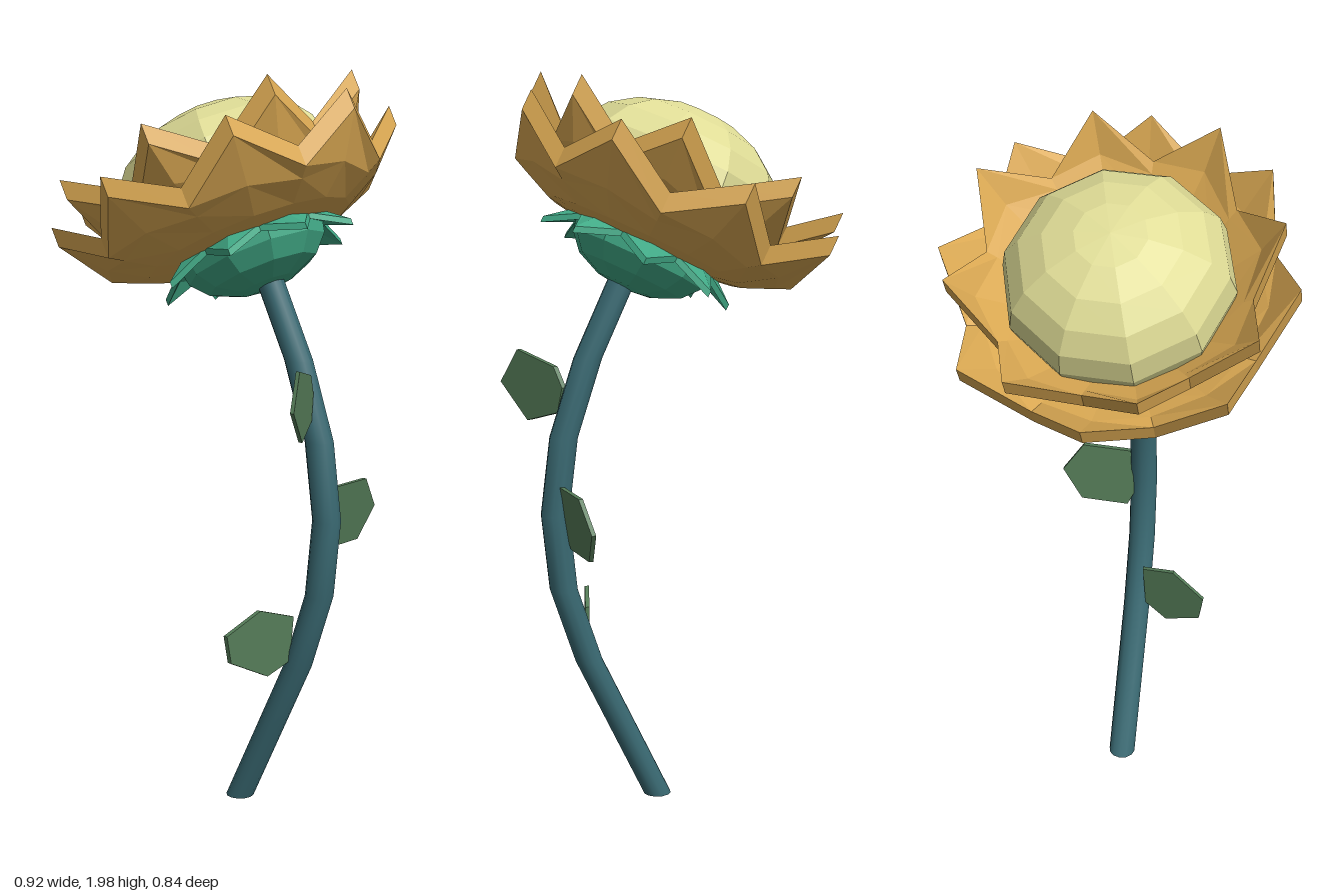
import * as THREE from 'three';

const mat = (name, color, flatShading = true) => {
  const m = new THREE.MeshStandardMaterial({ color, flatShading });
  m.name = name;
  return m;
};

// Ring of pointed petals: profiles are [radius, height] for tip and valley angles,
// thickened along the ring axis.
function petalRing(count, tip, valley, thickness, turn = 0) {
  const positions = [], index = [];
  const rows = tip.length, loop = rows * 2, steps = count * 2;
  for (let i = 0; i < steps; i++) {
    const a = turn + (i / steps) * Math.PI * 2;
    const profile = i % 2 ? valley : tip;
    const stretch = i % 4 === 2 ? 1.03 : 1;
    const section = [
      ...profile,
      ...[...profile].reverse().map(([r, t]) => [r, t + thickness]),
    ];
    for (const [r, t] of section) {
      const s = r > 0.38 ? stretch : 1;
      positions.push(Math.sin(a) * r * s, t, Math.cos(a) * r * s);
    }
    const j = (i + 1) % steps;
    for (let k = 0; k < loop; k++) {
      const n = (k + 1) % loop;
      const a0 = i * loop + k, b0 = i * loop + n, a1 = j * loop + k, b1 = j * loop + n;
      index.push(a0, a1, b0, a1, b1, b0);
    }
  }
  const g = new THREE.BufferGeometry();
  g.setAttribute('position', new THREE.Float32BufferAttribute(positions, 3));
  g.setIndex(index);
  g.computeVertexNormals();
  return g;
}

// Thin leaf plate: outline in x and y, with depth following a slanted plane.
function leafPlate(outline, depthAt) {
  const shape = new THREE.Shape(outline.map(([x, y]) => new THREE.Vector2(x, y)));
  const g = new THREE.ExtrudeGeometry(shape, { depth: 0.012, bevelEnabled: false });
  const p = g.attributes.position;
  for (let i = 0; i < p.count; i++) {
    p.setZ(i, p.getZ(i) - 0.006 + depthAt(p.getX(i), p.getY(i)));
  }
  g.computeVertexNormals();
  return g;
}

export function createModel() {
  const model = new THREE.Group();
  model.name = 'flower';
  const gold = mat('petal gold', 0xdba953);
  const cream = mat('seed cream', 0xdfdc96);
  const teal = mat('calyx green', 0x41a986);
  const stemBlue = mat('stem blue green', 0x3a6a73, false);
  const leafGreen = mat('leaf green', 0x557c58);

  const add = (parent, name, geometry, material) => {
    const mesh = new THREE.Mesh(geometry, material);
    mesh.name = name;
    parent.add(mesh);
    return mesh;
  };

  // Bowed stem
  const bow = [0.03, 0.13, 0.23, 0.3, 0.322, 0.295, 0.225, 0.125];
  const stemHeight = 1.45;
  const stem = new THREE.CylinderGeometry(0.038, 0.038, stemHeight, 12, 7);
  stem.translate(0, stemHeight / 2, 0);
  const sp = stem.attributes.position;
  for (let i = 0; i < sp.count; i++) {
    sp.setZ(i, sp.getZ(i) + bow[Math.round((sp.getY(i) / stemHeight) * 7)]);
  }
  stem.computeVertexNormals();
  add(model, 'stem', stem, stemBlue);

  // Leaves
  add(model, 'upperLeaf', leafPlate([
    [-0.228, 1.153], [-0.138, 1.06], [-0.037, 1.095], [-0.02, 1.164], [-0.048, 1.217], [-0.17, 1.248],
  ], (x) => 0.275 - x * 0.48), leafGreen);
  add(model, 'middleLeaf', leafPlate([
    [0.0, 0.825], [0.04, 0.74], [0.175, 0.74], [0.233, 0.825], [0.175, 0.91], [0.035, 0.91],
  ], (x, y) => 0.3 + (y - 0.82) * 0.16), leafGreen);
  add(model, 'lowerLeaf', leafPlate([
    [-0.212, 0.53], [-0.2, 0.455], [-0.095, 0.402], [-0.03, 0.434], [-0.02, 0.555], [-0.116, 0.585],
  ], (x) => 0.232 + x * 0.36), leafGreen);

  // Tilted flower head
  const head = new THREE.Group();
  head.name = 'flowerHead';
  head.position.set(0, 1.685, -0.015);
  head.rotation.x = THREE.MathUtils.degToRad(-27.5);
  model.add(head);

  add(head, 'seedDome', new THREE.SphereGeometry(0.3, 10, 10).scale(1, 0.7, 1), cream);

  add(head, 'outerPetals', petalRing(8,
    [[0.06, -0.2], [0.28, -0.165], [0.375, -0.11], [0.46, -0.006]],
    [[0.06, -0.2], [0.28, -0.165], [0.36, -0.13], [0.4, -0.112]], 0.055), gold);
  add(head, 'innerPetals', petalRing(8,
    [[0.06, -0.17], [0.26, -0.11], [0.36, -0.03], [0.425, 0.07]],
    [[0.06, -0.17], [0.26, -0.11], [0.32, -0.06], [0.345, -0.04]], 0.055,
    THREE.MathUtils.degToRad(18.5)), gold);

  // Calyx bowl with drooping sepals
  const bowl = [[0, -0.3], [0.08, -0.29], [0.15, -0.26], [0.19, -0.215], [0.2, -0.165], [0.14, -0.14]];
  add(head, 'calyxBowl',
    new THREE.LatheGeometry(bowl.map(([r, t]) => new THREE.Vector2(r, t)), 10), teal);
  add(head, 'sepals', petalRing(8,
    [[0.15, -0.18], [0.215, -0.19], [0.27, -0.235]],
    [[0.15, -0.18], [0.19, -0.185], [0.2, -0.19]], 0.018,
    THREE.MathUtils.degToRad(26)), teal);

  return model;
}
